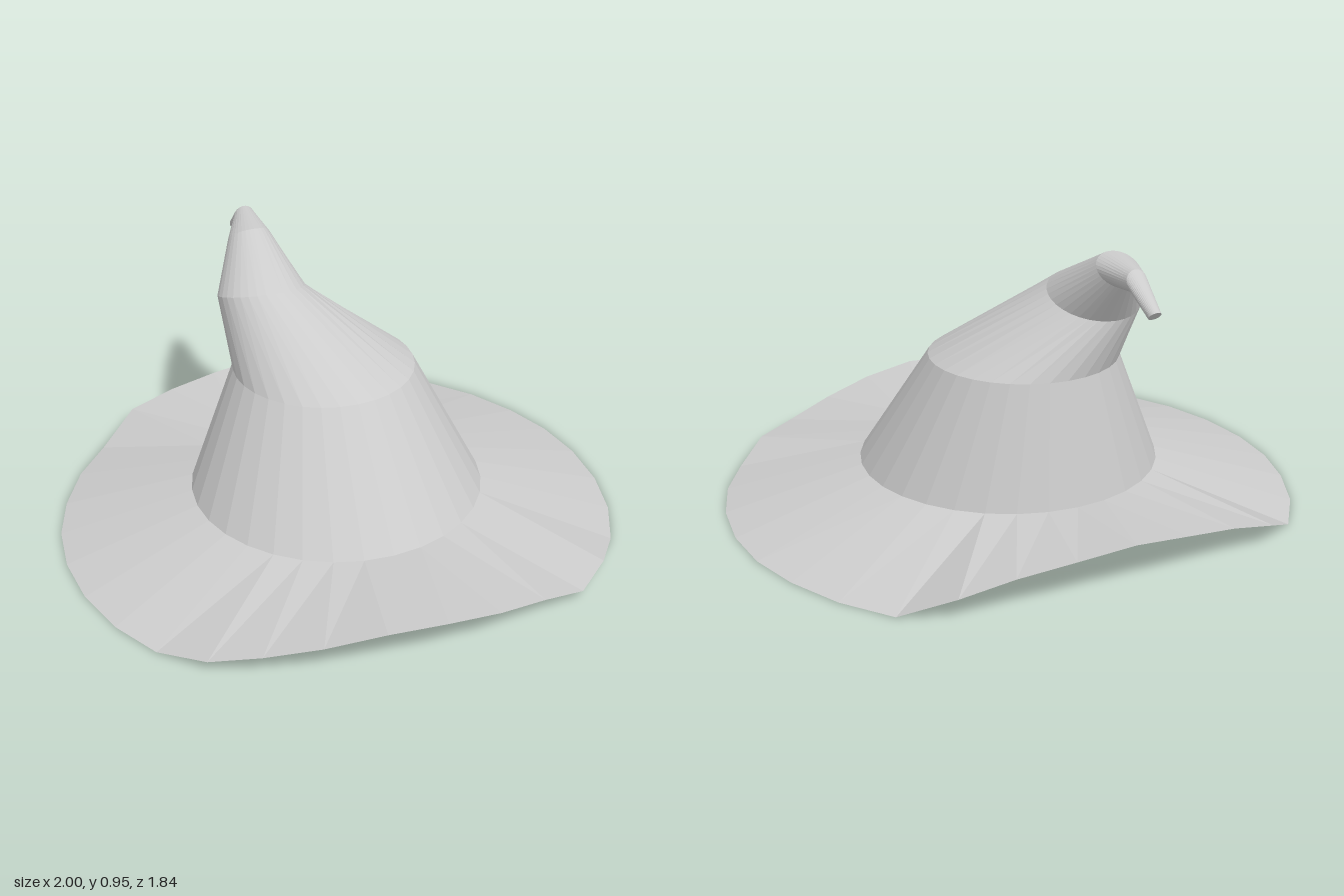
import * as THREE from 'three';

const SIDES = 32;

// Tilted ring: centre, radius, and the vector from the centre to its front point.
function ring([x, y, z], r, [fy, fz]) {
  return Array.from({ length: SIDES }, (_, i) => {
    const a = (i / SIDES) * Math.PI * 2;
    return [x + r * Math.sin(a), y + fy * Math.cos(a), z + fz * Math.cos(a)];
  });
}

// Skin between successive rings of equal point count.
function loft(rings, name) {
  const index = [];
  for (let k = 0; k < rings.length - 1; k++) {
    for (let i = 0; i < SIDES; i++) {
      const j = (i + 1) % SIDES;
      const a = k * SIDES + i, b = k * SIDES + j;
      index.push(a, b, b + SIDES, a, b + SIDES, a + SIDES);
    }
  }
  const geo = new THREE.BufferGeometry();
  geo.setAttribute('position', new THREE.Float32BufferAttribute(rings.flat(2), 3));
  geo.setIndex(index);
  geo.computeVertexNormals();
  const material = new THREE.MeshStandardMaterial({
    color: 0xcccccc, flatShading: true, side: THREE.DoubleSide,
  });
  const mesh = new THREE.Mesh(geo, material);
  mesh.name = name;
  return mesh;
}

export function createModel() {
  const group = new THREE.Group();
  group.name = 'pointedHat';

  const base = ring([0, 0.13, -0.025], 0.525, [0, 0.525]);
  const crown = ring([0, 0.54, -0.145], 0.325, [0, 0.325]);
  const bend = ring([-0.165, 0.772, -0.33], 0.157, [0.05, 0.15]);
  const neck = ring([-0.145, 0.905, -0.52], 0.075, [0.045, 0.06]);
  const kink = ring([-0.108, 0.915, -0.69], 0.036, [0.035, 0.01]);
  const tip = ring([-0.11, 0.835, -0.795], 0.021, [0.015, -0.015]);
  const tipEnd = ring([-0.11, 0.835, -0.795], 0, [0, 0]);

  // Crown, bent backwards and closed at the tip
  group.add(loft([base, crown], 'lowerCrown'));
  group.add(loft([crown, bend], 'upperCrown'));
  group.add(loft([bend, neck, kink], 'bentPeak'));
  group.add(loft([kink, tip, tipEnd], 'tip'));

  // Wavy brim edge, listed from the front round the left side to the back
  const edgeZ = [0.92, 0.9, 0.85, 0.8, 0.68, 0.53, 0.36, 0.17, -0.03,
    -0.22, -0.4, -0.58, -0.735, -0.85, -0.88, -0.905, -0.92];
  const edgeY = [0.16, 0.13, 0.09, 0.04, 0.04, 0, 0, 0, 0,
    0, 0, 0, 0, 0.08, 0.12, 0.145, 0.165];
  // The right front droops a little less
  const rightZ = { 2: 0.845, 3: 0.77 };
  const rightY = { 1: 0.16, 2: 0.12, 3: 0.08 };
  const edge = Array.from({ length: SIDES }, (_, i) => {
    const right = i > SIDES / 2;
    const k = right ? SIDES - i : i;
    return [
      Math.sin((i / SIDES) * Math.PI * 2),
      (right && rightY[k]) || edgeY[k],
      (right && rightZ[k]) || edgeZ[k],
    ];
  });
  group.add(loft([edge, base], 'brim'));

  return group;
}
